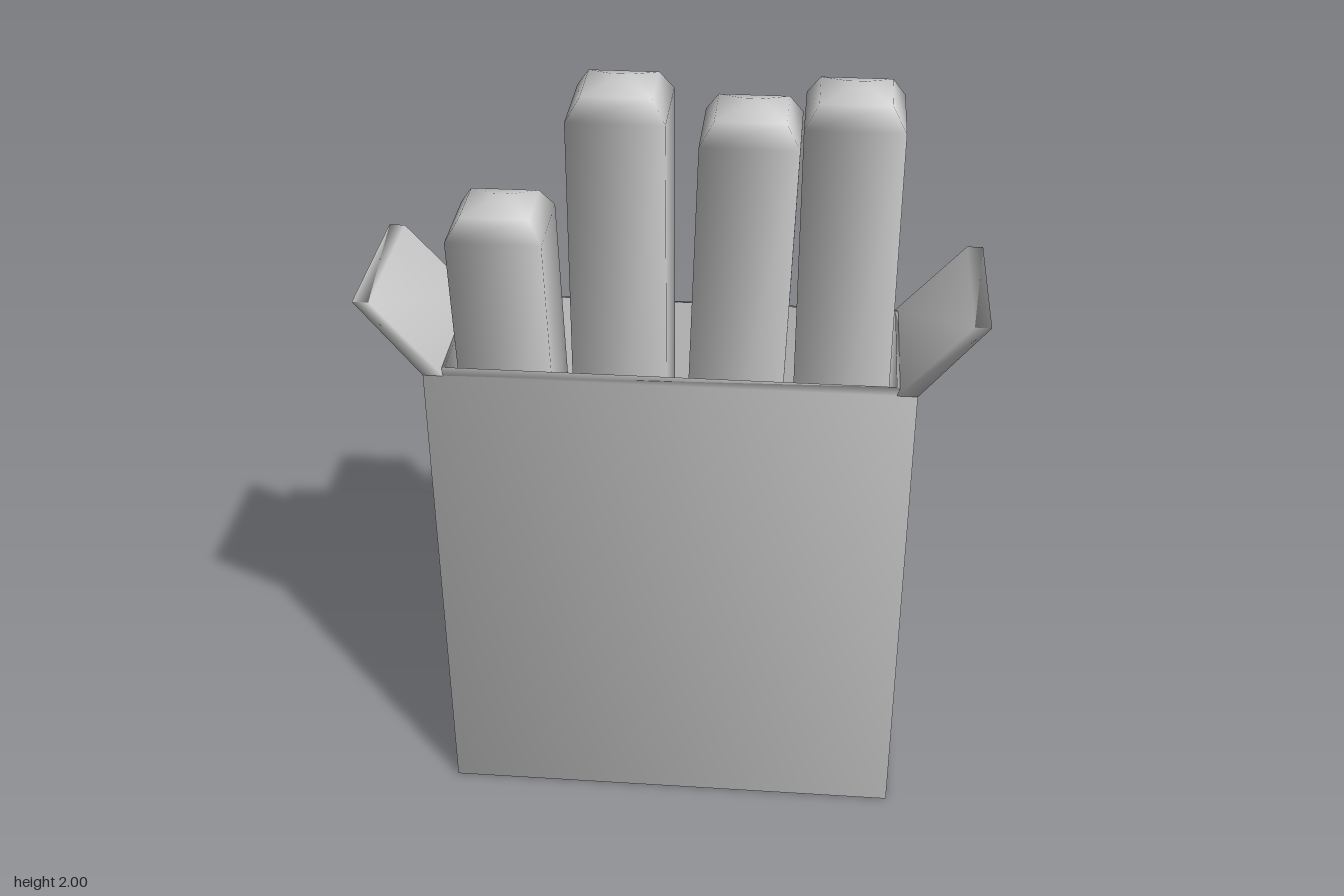
import * as THREE from 'three';
import { RoundedBoxGeometry } from 'three/addons/geometries/RoundedBoxGeometry.js';

const grey = new THREE.MeshStandardMaterial({ color: 0xcccccc });
const thin = new THREE.MeshStandardMaterial({ color: 0xcccccc, side: THREE.DoubleSide });

// Skin through rings of equal point count, closed with a fan at both ends
function loft(rings) {
  const n = rings[0].length;
  const pos = rings.flat(2);
  const idx = [];
  for (let i = 0; i < rings.length - 1; i++) {
    for (let j = 0; j < n; j++) {
      const k = (j + 1) % n;
      const a = i * n + j, b = i * n + k, c = a + n, d = b + n;
      idx.push(a, b, d, a, d, c);
    }
  }
  const last = (rings.length - 1) * n;
  for (let j = 1; j < n - 1; j++) {
    idx.push(0, j + 1, j, last, last + j, last + j + 1);
  }
  const g = new THREE.BufferGeometry();
  g.setAttribute('position', new THREE.Float32BufferAttribute(pos, 3));
  g.setIndex(idx);
  g.computeVertexNormals();
  return g;
}

// Horizontal rectangle, counter-clockwise from above
const rect = (x0, x1, z0, z1, y) => [[x0, y, z1], [x1, y, z1], [x1, y, z0], [x0, y, z0]];

export function createModel() {
  const model = new THREE.Group();
  const add = (name, geometry, material = grey, parent = model) => {
    const mesh = new THREE.Mesh(geometry, material);
    mesh.name = name;
    parent.add(mesh);
    return mesh;
  };

  // Open carton with a slight forward lean
  add('carton', loft([
    rect(-0.6, 0.6, -0.12, 0.31, 0),
    rect(-0.6, 0.6, -0.095, 0.335, 1.32),
    rect(-0.55, 0.55, -0.07, 0.31, 1.33),
    rect(-0.55, 0.55, -0.09, 0.29, 0.3),
  ]));

  // Flaps folded outwards on both sides
  for (const side of [1, -1]) {
    const flap = add(side > 0 ? 'leftFlap' : 'rightFlap', loft([
      rect(0.55, 0.6, -0.095, 0.335, 1.32),
      rect(0.72, 0.76, -0.095, 0.325, 1.51),
    ]));
    flap.scale.x = side;
  }

  // Square sticks: bottom centre x, z, then shoulder centre x, y, z
  const sticks = [
    [-0.385, 0.11, -0.433, 1.62, 0.095],
    [-0.13, 0.115, -0.135, 1.93, 0.07],
    [0.125, 0.115, 0.178, 1.88, 0.072],
    [0.415, 0.115, 0.42, 1.93, 0.068],
  ];
  sticks.forEach(([bx, bz, x, y, z], i) => {
    const square = (cx, cz, cy, r) => rect(cx - r, cx + r, cz - r, cz + r, cy);
    add('stick' + (i + 1), loft([
      square(bx, bz, 0.29, 0.118),
      square(x, z, y, 0.118),
      square(x, z, y + 0.052, 0.085),
      square(x, z, y + 0.068, 0.025),
    ]));
  });

  // Faceted oval badge on the back
  const badge = add('badge', new THREE.CylinderGeometry(0.42, 0.4, 0.065, 10).toNonIndexed());
  badge.geometry.rotateX(Math.PI / 2).scale(1, 0.83, 1).computeVertexNormals();
  badge.position.set(0, 0.635, -0.132);
  badge.rotation.x = 0.02;

  // Two flattened ears: bottom and top centres
  const ears = [['leftEar', 0.1, 0.37, 0.33, 0.87], ['rightEar', -0.1, 0.37, -0.21, 0.85]];
  for (const [name, x0, y0, x1, y1] of ears) {
    const length = Math.hypot(x1 - x0, y1 - y0);
    const ear = add(name, new THREE.CapsuleGeometry(0.09, length, 2, 8));
    ear.scale.z = 0.45;
    ear.position.set((x0 + x1) / 2, (y0 + y1) / 2, -0.205);
    ear.rotation.z = -Math.atan2(x1 - x0, y1 - y0);
  }

  // Bow: two loops, two tails and a knot
  const bow = new THREE.Group();
  bow.name = 'bow';
  model.add(bow);
  const section = (x, z, hy, t) =>
    [[x, 0.38 + hy, z], [x, 0.38, z + t], [x, 0.38 - hy, z], [x, 0.38, z - t]];
  const loop = loft([
    section(0.03, -0.262, 0.045, 0.012),
    section(0.18, -0.272, 0.105, 0.028),
    section(0.32, -0.292, 0.155, 0.022),
    section(0.42, -0.308, 0.125, 0.006),
  ]);
  const tail = loft([
    [[0.02, 0.34, -0.255], [0.05, 0.36, -0.252], [0.04, 0.35, -0.262]],
    [[0.1, 0.19, -0.295], [0.23, 0.27, -0.282], [0.165, 0.23, -0.305]],
    [[0.17, 0.06, -0.335], [0.38, 0.2, -0.312], [0.275, 0.13, -0.33]],
  ]);
  for (const side of [1, -1]) {
    const label = side > 0 ? 'left' : 'right';
    add(label + 'Loop', loop, thin, bow).scale.x = side;
    add(label + 'Tail', tail, thin, bow).scale.x = side;
  }
  add('knot', new RoundedBoxGeometry(0.13, 0.13, 0.05, 2, 0.024), grey, bow)
    .position.set(0, 0.38, -0.262);

  return model;
}
